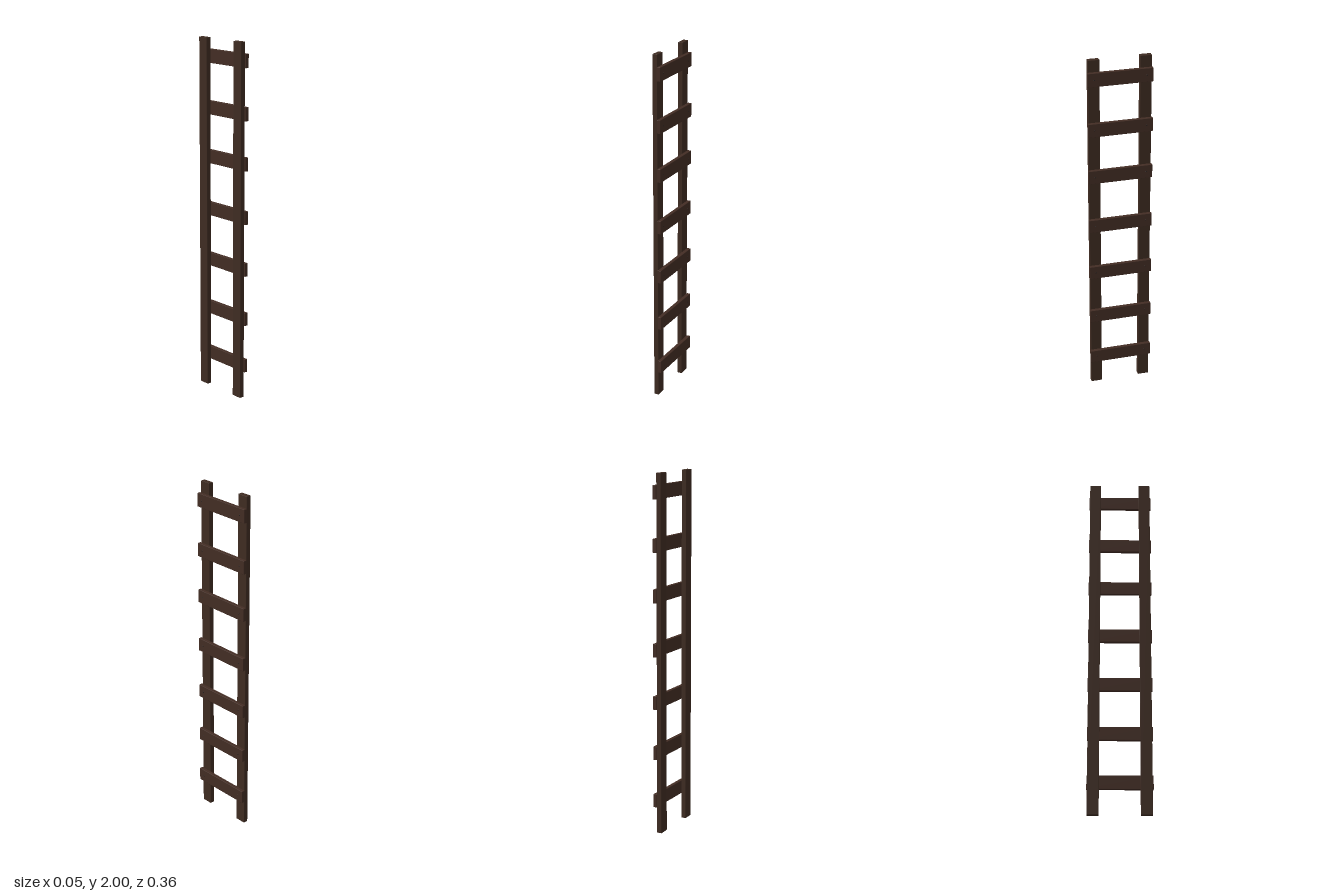
import * as THREE from 'three';
import { RoundedBoxGeometry } from 'three/addons/geometries/RoundedBoxGeometry.js';

const material = (name, color) => new THREE.MeshStandardMaterial({ name, color });

export function createModel() {
  const ladder = new THREE.Group();
  ladder.name = 'ladder';
  const railWood = material('rail wood', 0x3f2c22);
  const rungWood = material('rung wood', 0x432d24);
  const iron = material('nail iron', 0x2a2320);

  // plank with slightly softened edges
  const addPlank = (name, size, position, mat) => {
    const mesh = new THREE.Mesh(new RoundedBoxGeometry(...size, 1, 0.002), mat);
    mesh.name = name;
    mesh.position.set(...position);
    ladder.add(mesh);
  };

  // two upright rails
  addPlank('frontRail', [0.028, 2, 0.063], [-0.012, 1, 0.14], railWood);
  addPlank('backRail', [0.028, 2, 0.063], [-0.012, 1, -0.143], railWood);

  // rungs nailed across the +x side of the rails
  const nailHead = new THREE.SphereGeometry(0.004, 8, 4, 0, Math.PI * 2, 0, Math.PI / 2);
  nailHead.scale(1, 0.6, 1).rotateZ(-Math.PI / 2);
  [0.186, 0.461, 0.747, 1.041, 1.339, 1.613, 1.897].forEach((y, i) => {
    addPlank('rung' + (i + 1), [0.021, 0.076, 0.356], [0.0125, y, 0], rungWood);
    for (const z of [0.143, -0.143]) {
      const nail = new THREE.Mesh(nailHead, iron);
      nail.name = 'nailHead';
      nail.position.set(0.0228, y, z);
      ladder.add(nail);
    }
  });
  return ladder;
}
